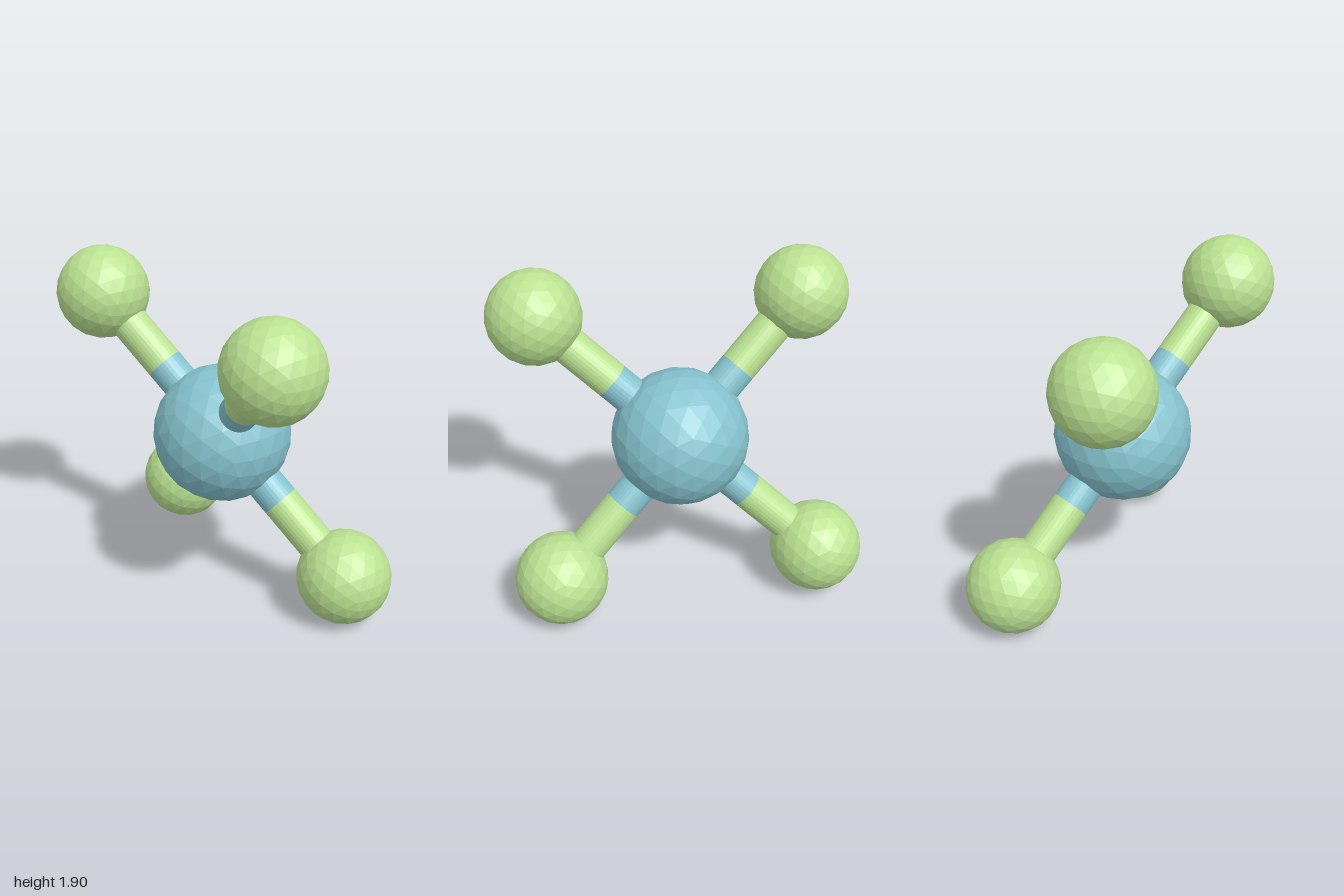
import * as THREE from 'three';

const CENTRE = new THREE.Vector3(0, 0.955, 0);
const CORE_RADIUS = 0.385;
const BALL_RADIUS = 0.262;
const ROD_RADIUS = 0.105;
const SPLIT = 0.48; // share of each rod that takes the core colour

export function createModel() {
  const model = new THREE.Group();
  const blue = new THREE.MeshStandardMaterial({ color: 0x86c3cf, flatShading: true });
  const green = new THREE.MeshStandardMaterial({ color: 0xbbe292, flatShading: true });

  function addBall(name, position, radius, material) {
    const ball = new THREE.Mesh(new THREE.IcosahedronGeometry(radius, 3), material);
    ball.name = name;
    ball.position.copy(position);
    model.add(ball);
  }

  // Straight rod between two points
  function addRod(name, from, to, material) {
    const axis = to.clone().sub(from);
    const geometry = new THREE.CylinderGeometry(ROD_RADIUS, ROD_RADIUS, axis.length(), 32);
    const rod = new THREE.Mesh(geometry, material);
    rod.name = name;
    rod.position.copy(from).add(to).multiplyScalar(0.5);
    rod.quaternion.setFromUnitVectors(new THREE.Vector3(0, 1, 0), axis.normalize());
    model.add(rod);
  }

  addBall('coreBall', CENTRE, CORE_RADIUS, blue);

  // Four outer balls, each on a two-coloured rod
  const outer = {
    UpperLeft: [0.73, 1.625, 0.31],
    UpperRight: [-0.738, 1.643, 0.252],
    LowerLeft: [0.735, 0.265, -0.252],
    LowerRight: [-0.735, 0.287, -0.31],
  };
  for (const [place, xyz] of Object.entries(outer)) {
    const end = new THREE.Vector3(...xyz);
    const split = CENTRE.clone().lerp(end, SPLIT);
    addRod('innerRod' + place, CENTRE, split, blue);
    addRod('outerRod' + place, split, end, green);
    addBall('outerBall' + place, end, BALL_RADIUS, green);
  }
  return model;
}
